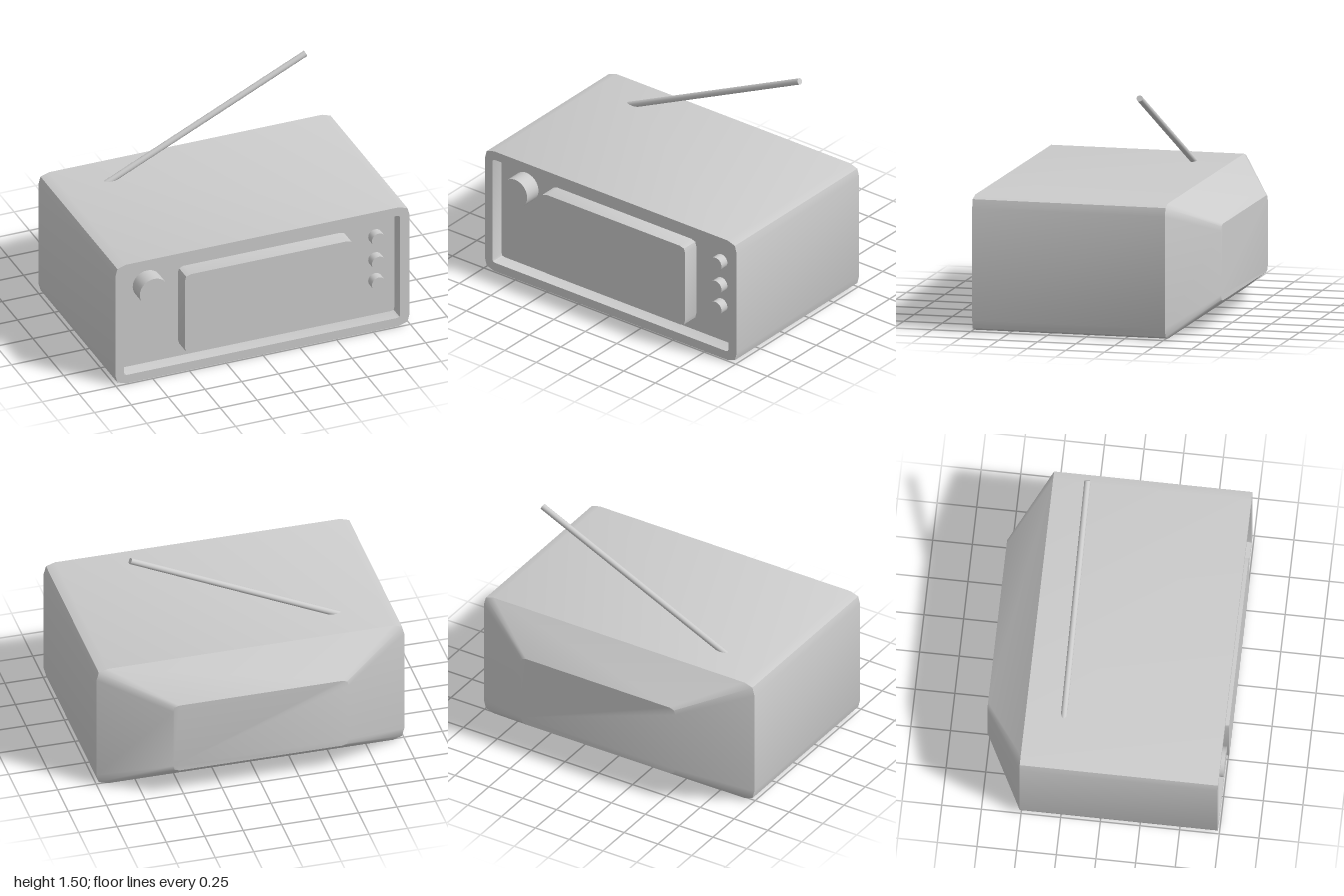
import * as THREE from 'three';
import { toCreasedNormals } from 'three/addons/utils/BufferGeometryUtils.js';

const material = new THREE.MeshStandardMaterial({ color: 0xcccccc });

function part(name, geometry, parent) {
  const mesh = new THREE.Mesh(geometry, material);
  mesh.name = name;
  parent.add(mesh);
  return mesh;
}

// Rectangle with three-point corners, counter-clockwise seen from the front
function ring(x0, x1, y0, y1, c, z) {
  const near = c * 0.2, far = c;
  return [
    [x1, y0 + far], [x1, y1 - far], [x1 - near, y1 - near * 1.3], [x1 - far, y1],
    [x0 + far, y1], [x0 + near, y1 - near * 1.3], [x0, y1 - far],
    [x0, y0 + far], [x0 + near, y0 + near * 1.3], [x0 + far, y0],
    [x1 - far, y0], [x1 - near, y0 + near * 1.3],
  ].map(([x, y]) => [x, y, z]);
}

// Skin through a list of rings, closed by a fan at each end
function loft(rings) {
  const n = rings[0].length, pos = [], index = [];
  rings.forEach((r) => r.forEach((p) => pos.push(...p)));
  for (let k = 0; k < rings.length - 1; k++) {
    for (let i = 0; i < n; i++) {
      const a = k * n + i, a2 = k * n + (i + 1) % n;
      index.push(a, a + n, a2 + n, a, a2 + n, a2);
    }
  }
  const last = (rings.length - 1) * n;
  for (let i = 1; i < n - 1; i++) {
    index.push(0, i, i + 1);
    index.push(last, last + i + 1, last + i);
  }
  const g = new THREE.BufferGeometry();
  g.setAttribute('position', new THREE.Float32BufferAttribute(pos, 3));
  g.setIndex(index);
  return toCreasedNormals(g, 0.6);
}

// Knob facing forward, from zBack to zFront
function knob(name, x, y, r, zBack, zFront, parent) {
  const g = new THREE.CylinderGeometry(r, r, zFront - zBack, 32);
  g.rotateX(Math.PI / 2);
  part(name, g, parent).position.set(x, y, (zBack + zFront) / 2);
}

export function createModel() {
  const radio = new THREE.Group();
  radio.name = 'radio';
  const floorZ = 0.645;

  // Casing: recessed front panel, rim, straight sides and tapered back
  part('casing', loft([
    ring(-0.94, 0.935, 0.06, 0.8, 0.02, floorZ),
    ring(-0.94, 0.935, 0.06, 0.8, 0.02, 0.74),
    ring(-1, 1, 0, 0.86, 0.073, 0.74),
    ring(-1, 1, 0, 0.86, 0.073, -0.51),
    ring(-0.57, 0.57, 0.186, 0.674, 0.041, -0.76),
  ]), radio);

  // Display panel standing out of the recess
  const outline = ring(-0.535, 0.605, 0.14, 0.705, 0.04, 0).map(([x, y]) => new THREE.Vector2(x, y));
  const panel = new THREE.ExtrudeGeometry(new THREE.Shape(outline), { depth: 0.76 - floorZ, bevelEnabled: false });
  part('displayPanel', toCreasedNormals(panel, 0.6), radio).position.z = floorZ;

  // Controls
  knob('tuningKnob', -0.745, 0.63, 0.097, floorZ, 0.76, radio);
  [0.63, 0.463, 0.312].forEach((y, i) => knob('button' + (i + 1), 0.805, y, 0.047, floorZ, 0.705, radio));

  // Leaning antenna, its foot sunk into the top
  const foot = new THREE.Vector3(-0.67, 0.83, -0.27), tip = new THREE.Vector3(0.715, 1.482, -0.27);
  const rod = tip.clone().sub(foot);
  const antenna = part('antenna', new THREE.CylinderGeometry(0.02, 0.02, rod.length(), 16), radio);
  antenna.position.copy(foot).add(tip).multiplyScalar(0.5);
  antenna.quaternion.setFromUnitVectors(new THREE.Vector3(0, 1, 0), rod.normalize());

  return radio;
}
